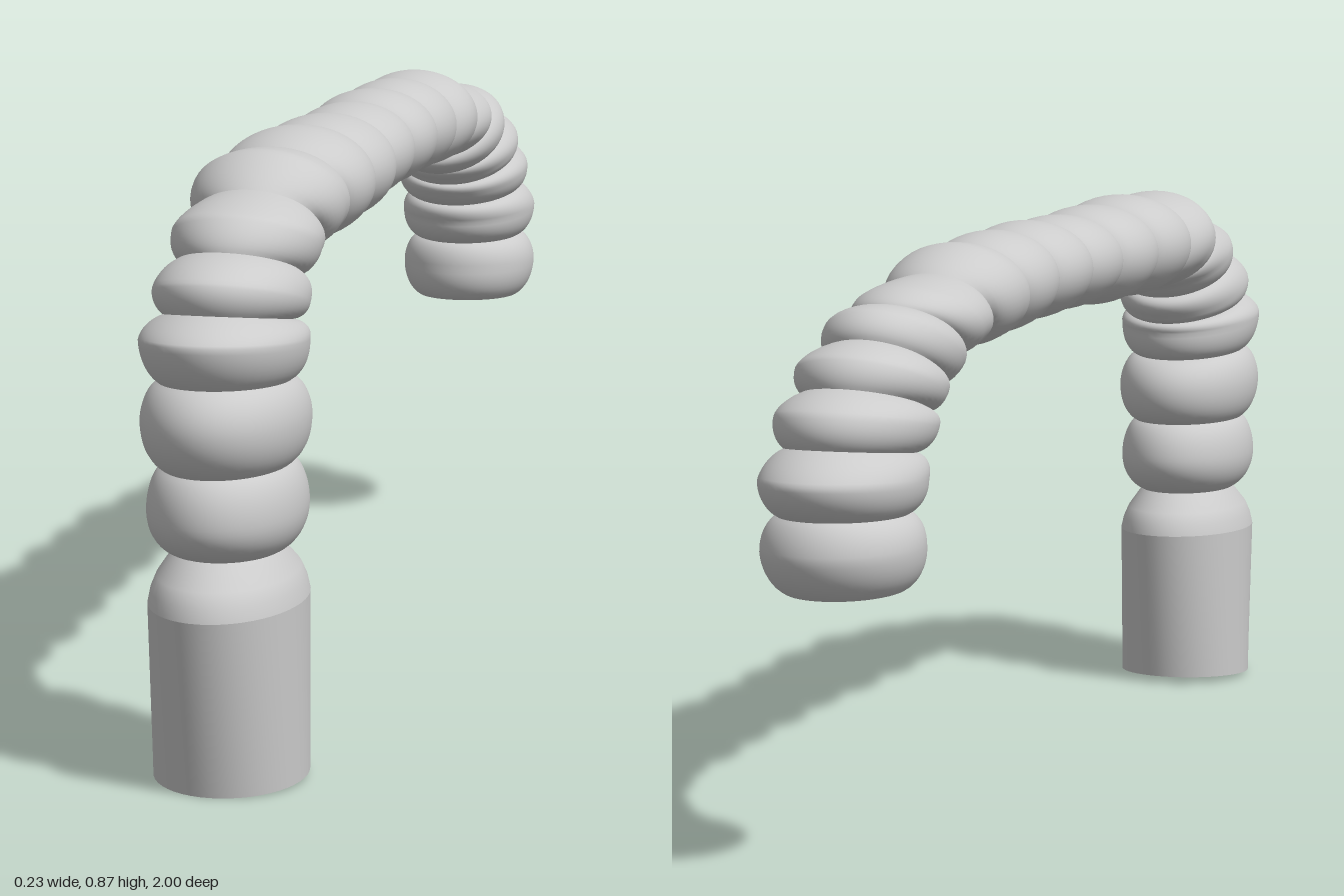
import * as THREE from 'three';

const SIDES = 48;
const material = new THREE.MeshStandardMaterial({ color: 0xcccccc, side: THREE.DoubleSide });

// A section is an ellipse: [outer z, outer y, inner z, inner y, half width in x]
const mix = (s, t, k) => s.map((v, i) => v + (t[i] - v) * k);

// Shrinks a section about its own centre
function shrink([az, ay, bz, by, h], k) {
  const cz = (az + bz) / 2, cy = (ay + by) / 2;
  return [cz + (az - cz) * k, cy + (ay - cy) * k, cz + (bz - cz) * k, cy + (by - cy) * k, h * k];
}

// Skins a run of sections
function skin(name, sections) {
  const pos = [], idx = [];
  sections.forEach(([az, ay, bz, by, h], i) => {
    for (let j = 0; j < SIDES; j++) {
      const p = (j / SIDES) * Math.PI * 2, c = Math.cos(p) / 2;
      pos.push(h * Math.sin(p), (ay + by) / 2 + (ay - by) * c, (az + bz) / 2 + (az - bz) * c);
      if (i === sections.length - 1) continue;
      const k = (j + 1) % SIDES, a = i * SIDES + j, b = i * SIDES + k;
      idx.push(a, b, a + SIDES, b, b + SIDES, a + SIDES);
    }
  });
  const g = new THREE.BufferGeometry();
  g.setAttribute('position', new THREE.Float32BufferAttribute(pos, 3));
  g.setIndex(idx);
  g.computeVertexNormals();
  const mesh = new THREE.Mesh(g, material);
  mesh.name = name;
  return mesh;
}

// Widest section of each bead along the arch
const beads = [
  [0.98, 0.39, 0.655, 0.395, 0.11],
  [1.0, 0.52, 0.65, 0.515, 0.115],
  [1.0, 0.645, 0.665, 0.615, 0.115],
  [0.94, 0.725, 0.645, 0.645, 0.107],
  [0.82, 0.80, 0.59, 0.70, 0.105],
  [0.625, 0.865, 0.535, 0.71, 0.113],
  [0.42, 0.873, 0.42, 0.705, 0.115],
  [0.25, 0.868, 0.25, 0.707, 0.108],
  [0.083, 0.865, 0.083, 0.715, 0.1],
  [-0.07, 0.868, -0.07, 0.715, 0.103],
  [-0.235, 0.865, -0.23, 0.71, 0.1],
  [-0.405, 0.86, -0.35, 0.706, 0.105],
  [-0.62, 0.815, -0.46, 0.705, 0.097],
  [-0.75, 0.795, -0.54, 0.67, 0.098],
  [-0.855, 0.74, -0.615, 0.645, 0.105],
  [-0.94, 0.67, -0.645, 0.615, 0.11],
  [-1.0, 0.577, -0.69, 0.56, 0.113],
  [-0.985, 0.472, -0.71, 0.475, 0.113],
];
const firstNeck = [0.92, 0.332, 0.71, 0.332, 0.077];
const endFace = [-0.94, 0.412, -0.737, 0.417, 0.085];

// Rounded bead bulging between two necks
function bead(from, peak, to) {
  const rows = [], STEPS = 9, sweep = 1.2;
  for (let i = -STEPS; i <= STEPS; i++) {
    const th = (Math.abs(i) / STEPS) * sweep;
    const along = Math.sin(th) / Math.sin(sweep);
    const bulge = (Math.cos(th) - Math.cos(sweep)) / (1 - Math.cos(sweep));
    const neck = i < 0 ? from : to;
    // Slide the centre by "along" while the size follows "bulge"
    const slide = mix(peak, neck, along), size = mix(neck, peak, bulge);
    const cz = (slide[0] + slide[2]) / 2, cy = (slide[1] + slide[3]) / 2;
    const dz = (size[0] - size[2]) / 2, dy = (size[1] - size[3]) / 2;
    rows.push([cz + dz, cy + dy, cz - dz, cy - dy, size[4]]);
  }
  return rows;
}

export function createModel() {
  const group = new THREE.Group();
  group.name = 'beadedArch';

  // Open tapered socket and its shoulder
  const rim = [0.98, 0.26, 0.65, 0.265, 0.11];
  group.add(skin('socket', [[0.93, 0, 0.685, 0.012, 0.11], rim]));
  group.add(skin('socketShoulder', [
    rim,
    [0.975, 0.28, 0.655, 0.283, 0.106],
    [0.962, 0.3, 0.668, 0.302, 0.098],
    firstNeck,
  ]));

  // Beads, each meeting the next at a shared neck
  const necks = [firstNeck];
  for (let i = 1; i < beads.length; i++) necks.push(shrink(mix(beads[i - 1], beads[i], 0.5), 0.79));
  necks.push(endFace);
  beads.forEach((b, i) => group.add(skin('bead' + (i + 1), bead(necks[i], b, necks[i + 1]))));

  // Flat closed tip
  group.add(skin('tipCap', [endFace, shrink(endFace, 0)]));
  return group;
}
